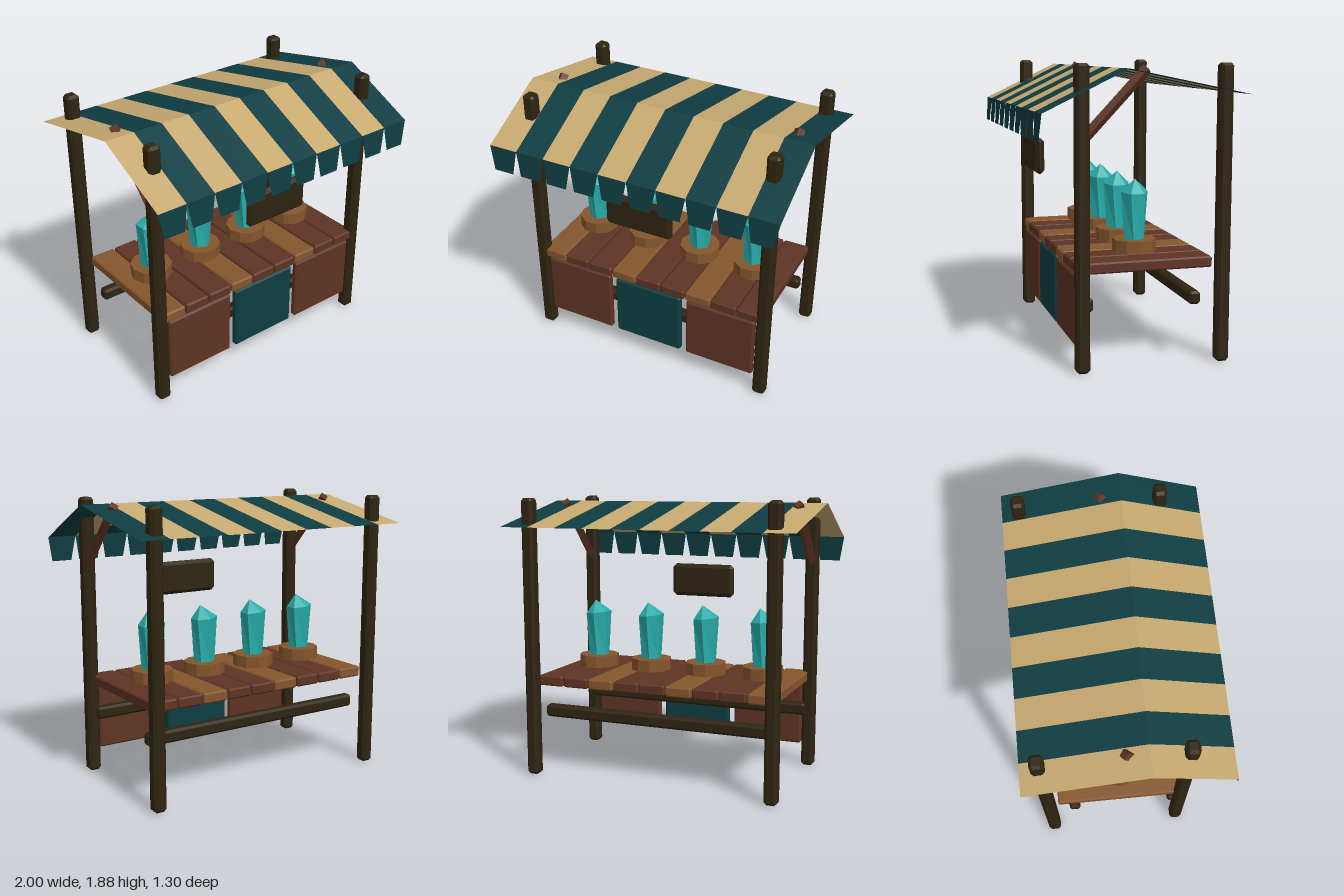
import * as THREE from 'three';
import { ConvexGeometry } from 'three/addons/geometries/ConvexGeometry.js';

const mat = (name, color, side = THREE.FrontSide) => {
  const m = new THREE.MeshStandardMaterial({ color, side, flatShading: true });
  m.name = name;
  return m;
};

// Box with chamfered edges: three points at every corner.
function chamferBox(w, h, d, c) {
  const pts = [];
  for (const sx of [-1, 1]) for (const sy of [-1, 1]) for (const sz of [-1, 1]) {
    const x = w / 2, y = h / 2, z = d / 2;
    pts.push(
      new THREE.Vector3(sx * x, sy * (y - c), sz * (z - c)),
      new THREE.Vector3(sx * (x - c), sy * y, sz * (z - c)),
      new THREE.Vector3(sx * (x - c), sy * (y - c), sz * z));
  }
  return new ConvexGeometry(pts);
}

// Flat-shaded geometry from quads and triangles given as corner lists.
function facets(faces) {
  const pos = [];
  for (const f of faces)
    for (let i = 1; i < f.length - 1; i++) pos.push(...f[0], ...f[i], ...f[i + 1]);
  const g = new THREE.BufferGeometry();
  g.setAttribute('position', new THREE.Float32BufferAttribute(pos, 3));
  g.computeVertexNormals();
  return g;
}

// Faceted crystal: two six-sided rings with a slight twist and an off-centre tip.
function crystalGeometry() {
  const n = 6;
  const ring = (r, y, turn, tilt) => Array.from({ length: n }, (_, i) => {
    const a = (i / n) * Math.PI * 2 + turn;
    return [Math.sin(a) * r, y - tilt * Math.sin(a), Math.cos(a) * r];
  });
  const low = ring(0.071, 0.75, 0.2, 0);
  const high = ring(0.088, 1.07, 0, 0.01);
  const tip = [0.027, 1.155, 0.005];
  const faces = [];
  for (let i = 0; i < n; i++) {
    const j = (i + 1) % n;
    faces.push([low[i], low[j], high[i]], [low[j], high[j], high[i]], [high[i], high[j], tip]);
  }
  return facets(faces);
}

export function createModel() {
  const model = new THREE.Group();
  model.name = 'marketStall';

  const darkWood = mat('dark wood', 0x2e2411);
  const redWood = mat('red brown wood', 0x5e3424);
  const lightWood = mat('light brown wood', 0x85562c);
  const tealPaint = mat('teal paint', 0x0e3d42);
  const tealCloth = mat('teal cloth', 0x0e3d42, THREE.DoubleSide);
  const beigeCloth = mat('beige cloth', 0xc6a970, THREE.DoubleSide);
  const crystalMat = mat('crystal', 0x27aeab);

  const add = (name, geo, material, x = 0, y = 0, z = 0) => {
    const m = new THREE.Mesh(geo, material);
    m.name = name;
    m.position.set(x, y, z);
    model.add(m);
    return m;
  };

  // Corner posts and roof braces
  const postGeo = chamferBox(0.086, 1.877, 0.086, 0.018);
  const from = new THREE.Vector3(0, 1.42, 0.366), to = new THREE.Vector3(0, 1.843, -0.035);
  const braceGeo = new THREE.BoxGeometry(0.048, from.distanceTo(to), 0.048);
  braceGeo.rotateY(Math.PI / 4);
  braceGeo.rotateX(Math.atan2(to.z - from.z, to.y - from.y));
  for (const s of [-1, 1]) {
    add('frontPost', postGeo, darkWood, s * 0.845, 0.9385, 0.366);
    add('backPost', postGeo, darkWood, s * 0.845, 0.9385, -0.54);
    add('roofBrace', braceGeo, redWood, s * 0.845, (from.y + to.y) / 2, (from.z + to.z) / 2);
  }

  // Long rails under the counter
  const railGeo = chamferBox(1.66, 0.083, 0.075, 0.015);
  add('frontRail', railGeo, darkWood, 0, 0.412, 0.327);
  add('backRail', railGeo, darkWood, 0, 0.412, -0.37);

  // Counter planks
  const plankGeo = chamferBox(0.178, 0.07, 0.876, 0.01);
  for (let i = 0; i < 9; i++)
    add('counterPlank', plankGeo, i % 3 ? redWood : lightWood, (i - 4) * 0.187, 0.642, -0.04);

  // Front panels
  const panelGeo = chamferBox(0.497, 0.457, 0.05, 0.012);
  for (let i = -1; i <= 1; i++)
    add('frontPanel', panelGeo, i ? redWood : tealPaint, i * 0.542, 0.378, 0.376);

  // Blank hanging sign
  add('signBoard', chamferBox(0.47, 0.235, 0.06, 0.025), darkWood, 0, 1.267, 0.487);

  // Crystals on round stands
  const standGeo = new THREE.CylinderGeometry(0.139, 0.139, 0.08, 10);
  standGeo.rotateY(Math.PI / 10);
  const crystalGeo = crystalGeometry();
  for (let i = 0; i < 4; i++) {
    const x = -0.626 + i * 0.4065;
    add('crystalStand', standGeo, lightWood, x, 0.73, -0.04);
    add('crystal', crystalGeo, crystalMat, x, 0, -0.04);
  }

  // Striped canopy with a hanging flap on every stripe
  const profile = [[1.597, 0.638], [1.847, 0.117], [1.69, -0.652]];
  for (let i = 0; i < 10; i++) {
    const x0 = -1 + i * 0.2, x1 = x0 + 0.2;
    const faces = [0, 1].map((k) => {
      const [ya, za] = profile[k], [yb, zb] = profile[k + 1];
      return [[x0, ya, za], [x1, ya, za], [x1, yb, zb], [x0, yb, zb]];
    });
    add('canopyStripe', facets(faces), i % 2 ? tealCloth : beigeCloth);
    add('canopyFlap', facets([[
      [x0 + 0.03, 1.43, 0.652], [x1 - 0.03, 1.43, 0.652], [x1, 1.597, 0.638], [x0, 1.597, 0.638],
    ]]), tealCloth);
  }

  return model;
}
